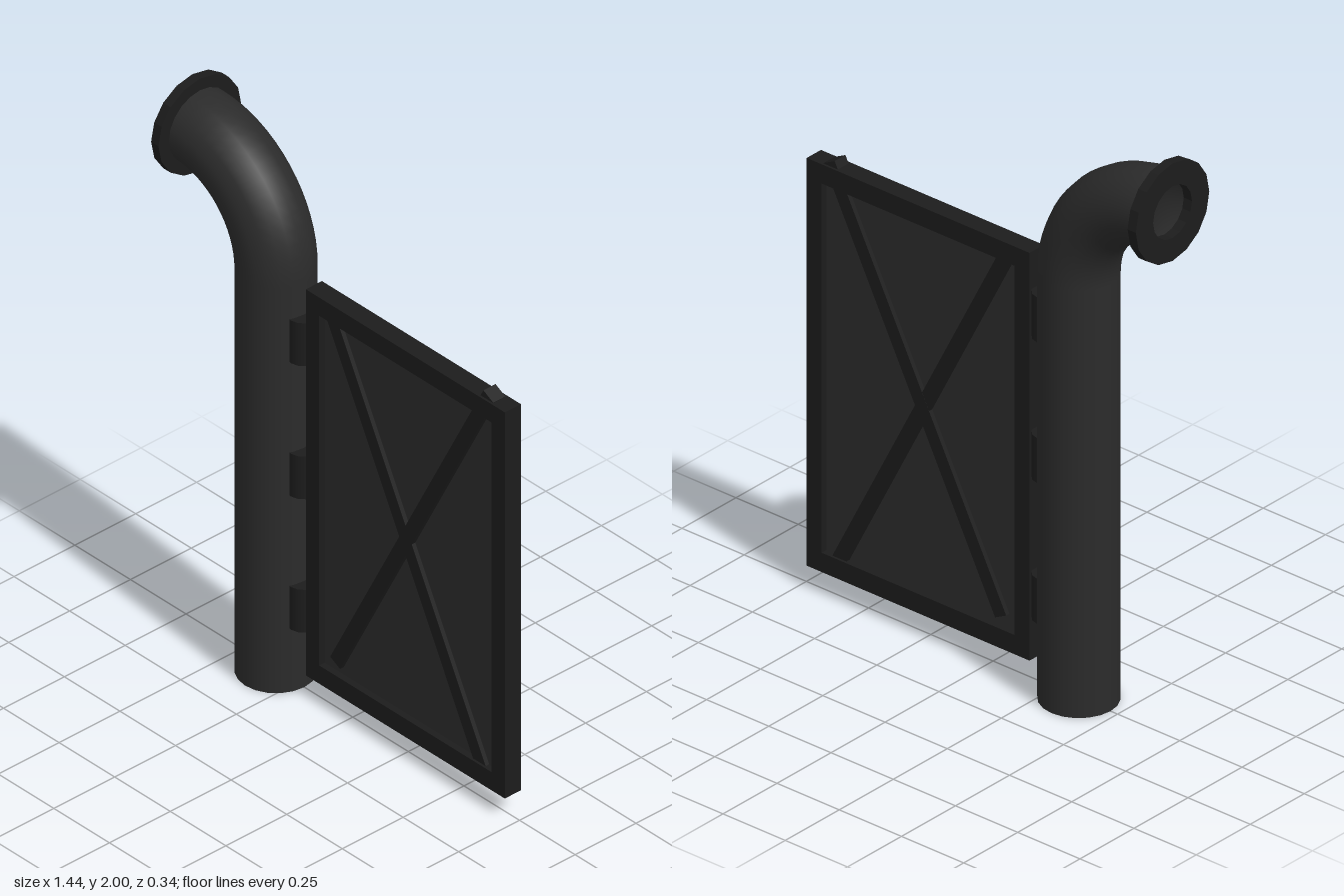
import * as THREE from 'three';

const mat = (color, extra = {}) => new THREE.MeshStandardMaterial({ color, ...extra });

export function createModel() {
  const group = new THREE.Group();
  const pipeMat = mat(0x2b2b2b, { side: THREE.DoubleSide });
  const frameMat = mat(0x1c1c1c);
  const panelMat = mat(0x2b2b2b);

  const add = (name, geometry, material, x, y, z = 0) => {
    const mesh = new THREE.Mesh(geometry, material);
    mesh.name = name;
    mesh.position.set(x, y, z);
    group.add(mesh);
    return mesh;
  };

  // Upright pipe, with a quarter bend towards the right
  const pipeX = -0.345, pipeR = 0.127, bendR = 0.345, bendY = 1.485, sides = 20;
  add('pipe', new THREE.CylinderGeometry(pipeR, pipeR, bendY, sides), pipeMat, pipeX, bendY / 2);
  add('pipeBend', new THREE.TorusGeometry(bendR, pipeR, sides, 16, Math.PI / 2), pipeMat, pipeX - bendR, bendY);

  // Ring flange at the mouth of the pipe
  const ring = new THREE.Shape().absarc(0, 0, 0.17, 0, Math.PI * 2);
  ring.holes.push(new THREE.Path().absarc(0, 0, 0.09, 0, Math.PI * 2, true));
  const ringGeo = new THREE.ExtrudeGeometry(ring, { depth: 0.033, bevelEnabled: false, curveSegments: 8 });
  ringGeo.rotateY(-Math.PI / 2);
  add('flange', ringGeo, frameMat, -0.688, bendY + bendR);

  // Gate frame, a rectangle with a rectangular opening
  const rect = (P, x0, y0, x1, y1) => new P([
    new THREE.Vector2(x0, y0), new THREE.Vector2(x1, y0),
    new THREE.Vector2(x1, y1), new THREE.Vector2(x0, y1),
  ]);
  const frame = rect(THREE.Shape, -0.175, 0.08, 0.72, 1.5);
  frame.holes.push(rect(THREE.Path, -0.115, 0.147, 0.66, 1.433));
  add('gateFrame', new THREE.ExtrudeGeometry(frame, { depth: 0.066, bevelEnabled: false }), frameMat, 0, 0, -0.033);

  // Thin sheet filling the frame
  add('gatePanel', new THREE.BoxGeometry(0.8, 1.31, 0.02), panelMat, 0.2725, 0.79);

  // Crossed diagonal braces, showing on both faces
  const brace = (name, x0, y0, x1, y1, depth) => {
    const dx = x1 - x0, dy = y1 - y0;
    const geo = new THREE.BoxGeometry(Math.hypot(dx, dy), 0.05, depth);
    add(name, geo, frameMat, (x0 + x1) / 2, (y0 + y1) / 2).rotation.z = Math.atan2(dy, dx);
  };
  brace('risingBrace', -0.052, 0.185, 0.637, 1.513, 0.05);
  brace('fallingBrace', -0.078, 1.46, 0.61, 0.12, 0.049);

  // Hinge barrels between pipe and gate
  for (const y of [0.312, 0.802, 1.292])
    add('hinge', new THREE.CylinderGeometry(0.052, 0.052, 0.157, 12), frameMat, -0.222, y);

  return group;
}
